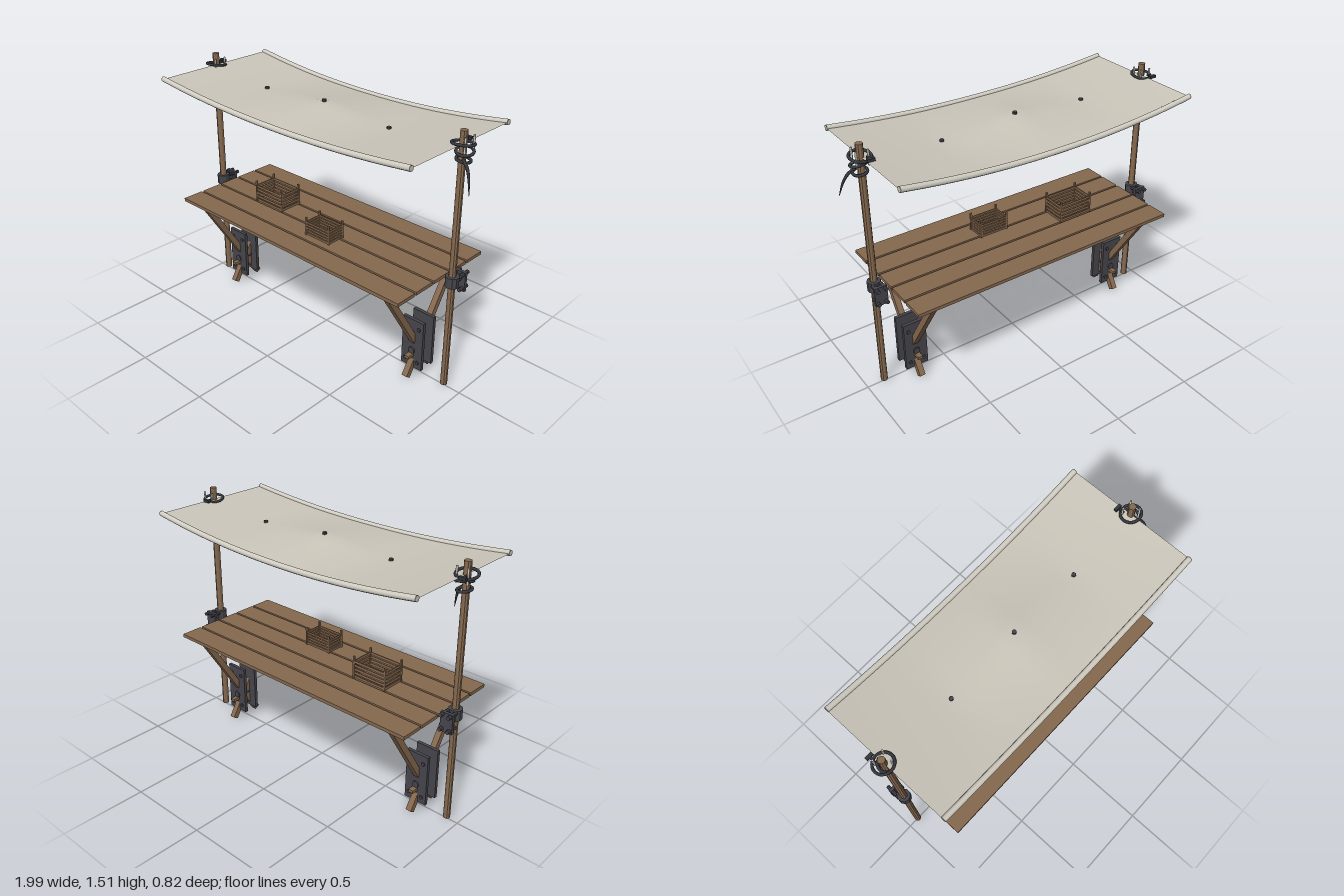
import * as THREE from 'three';

const mat = (color, extra = {}) => new THREE.MeshStandardMaterial({ color, ...extra });
const wood = mat(0x86694f, { flatShading: true });
const metal = mat(0x45454c, { flatShading: true });
const ropeMat = mat(0x33363b);
const clothMat = mat(0xcbc6ba, { side: THREE.DoubleSide });
const hemMat = mat(0xd2cec3, { side: THREE.DoubleSide });

const POLES = [-0.93, 0.895];
const LEGS = [-0.75, 0.705];
const MID = (POLES[0] + POLES[1]) / 2;
const HALF = (POLES[1] - POLES[0]) / 2;

function add(parent, name, geometry, material, x = 0, y = 0, z = 0) {
  const mesh = new THREE.Mesh(geometry, material);
  mesh.name = name;
  mesh.position.set(x, y, z);
  parent.add(mesh);
  return mesh;
}
const box = (p, name, m, w, h, d, x, y, z) => add(p, name, new THREE.BoxGeometry(w, h, d), m, x, y, z);
function rodZ(p, name, m, r, length, x, y, z, sides = 8) {
  const rod = add(p, name, new THREE.CylinderGeometry(r, r, length, sides), m, x, y, z);
  rod.rotation.x = Math.PI / 2;
  return rod;
}
function group(parent, name, x = 0, y = 0, z = 0) {
  const g = new THREE.Group();
  g.name = name;
  g.position.set(x, y, z);
  parent.add(g);
  return g;
}

// Height of the sagging cloth, pushed up to a soft peak in the middle
function clothHeight(x, z) {
  const u = (x - MID) / HALF;
  const sag = 0.0625 - 0.02 * z;
  const peak = Math.max(0, 1 - Math.abs(x - MID) / 0.45) * (1 - Math.abs(z) / 0.4);
  return 1.438 - sag * (1 - u * u) + 0.052 * peak;
}

function addCanopy(root) {
  const canopy = group(root, 'canopy');
  const geo = new THREE.PlaneGeometry(HALF * 2, 0.79, 24, 12).rotateX(-Math.PI / 2).translate(MID, 0, 0);
  const p = geo.attributes.position;
  for (let i = 0; i < p.count; i++) p.setY(i, clothHeight(p.getX(i), p.getZ(i)));
  geo.computeVertexNormals();
  add(canopy, 'cloth', geo, clothMat);

  // Rolled hems along the front and back
  for (const z of [-0.393, 0.393]) {
    const pts = [];
    for (let i = 0; i <= 12; i++) {
      const x = MID + HALF * (i / 6 - 1);
      pts.push(new THREE.Vector3(x, clothHeight(x, z), z));
    }
    add(canopy, 'hem', new THREE.TubeGeometry(new THREE.CatmullRomCurve3(pts), 24, 0.016, 10), hemMat);
    for (const end of [pts[0], pts[12]]) {
      const cap = add(canopy, 'hemEnd', new THREE.CircleGeometry(0.016, 10), hemMat, end.x, end.y, end.z);
      cap.rotation.y = Math.PI / 2;
    }
  }
  // Studs along the ridge
  for (const x of [-0.475, MID, 0.44]) {
    add(canopy, 'stud', new THREE.CylinderGeometry(0.012, 0.012, 0.014, 10), metal, x, clothHeight(x, 0) + 0.004, 0);
  }
}

function addPole(root, x) {
  const post = group(root, 'post', x);
  add(post, 'pole', new THREE.CylinderGeometry(0.02, 0.02, 1.5, 10), wood, 0, 0.76, 0);

  // Clamp holding the table to the pole
  const clamp = group(post, 'clamp');
  add(clamp, 'collar', new THREE.CylinderGeometry(0.038, 0.038, 0.06, 10), metal, 0, 0.675, 0);
  box(clamp, 'clampPlate', metal, 0.075, 0.115, 0.018, 0, 0.65, -0.072);
  box(clamp, 'clampArm', metal, 0.035, 0.03, 0.04, 0, 0.675, -0.05);
  for (const y of [0.696, 0.612]) {
    for (const bx of [-0.024, 0.024]) rodZ(clamp, 'clampBolt', metal, 0.011, 0.072, bx, y, -0.068);
  }

  // Rope lashing: radius, height and tilt of each turn
  const lashing = group(post, 'lashing');
  const turns = [
    [0.056, 1.442, -0.16, 0.05, 0],
    [0.043, 1.405, 0.2, -0.12, 0.012],
    [0.037, 1.36, -0.08, -0.14, 0.008],
  ];
  for (const [r, y, rx, rz, dx] of turns) {
    const loop = add(lashing, 'ropeTurn', new THREE.TorusGeometry(r, 0.008, 8, 24).rotateX(Math.PI / 2), ropeMat, dx, y, 0);
    loop.rotation.set(rx, 0, rz);
  }
  for (const [px, pz] of [[-0.028, -0.036], [0.036, -0.036], [0.03, 0.03]]) {
    add(lashing, 'peg', new THREE.CylinderGeometry(0.006, 0.006, 0.085, 6), hemMat, px, 1.442, pz);
  }
  box(lashing, 'toggle', ropeMat, 0.042, 0.016, 0.018, -0.022, 1.445, -0.072);
  box(lashing, 'toggleLink', ropeMat, 0.012, 0.012, 0.04, -0.022, 1.445, -0.052);

  // Loose rope end, tapering to a point
  const path = new THREE.CatmullRomCurve3([
    new THREE.Vector3(0.02, 1.37, 0.025), new THREE.Vector3(0.055, 1.345, 0.037),
    new THREE.Vector3(0.08, 1.3, 0.052), new THREE.Vector3(0.102, 1.22, 0.071),
  ]);
  const tail = new THREE.TubeGeometry(path, 12, 0.009, 7);
  const p = tail.attributes.position;
  const v = new THREE.Vector3();
  for (let i = 0; i < p.count; i++) {
    const t = Math.floor(i / 8) / 12;
    const c = path.getPointAt(t);
    v.fromBufferAttribute(p, i).sub(c).multiplyScalar(1 - 0.85 * t * t).add(c);
    p.setXYZ(i, v.x, v.y, v.z);
  }
  add(lashing, 'ropeEnd', tail, ropeMat);
}

function addTrestle(root, x) {
  const trestle = group(root, 'trestle', x);
  // Two crossing legs
  const dy = 0.626, dz = 0.394;
  for (const s of [-1, 1]) {
    const leg = box(trestle, 'leg', wood, 0.035, Math.hypot(dy, dz), 0.036, 0, 0.01 + dy / 2, s * 0.1);
    leg.rotation.x = s * Math.atan2(dz, dy);
    // Bolted plate on each side of the crossing
    box(trestle, 'plate', metal, 0.14, 0.312, 0.02, 0, 0.213, s * 0.045);
    for (const bx of [-0.042, 0.042]) {
      for (const y of [0.1, 0.32]) rodZ(trestle, 'bolt', metal, 0.011, 0.012, bx, y, s * 0.057);
    }
  }
  rodZ(trestle, 'axle', metal, 0.021, 0.125, 0, 0.168, 0, 10);
  box(trestle, 'crossPeg', wood, 0.03, 0.018, 0.2, 0, 0.142, 0);
  box(trestle, 'topCleat', wood, 0.06, 0.022, 0.225, 0, 0.645, 0);
}

function addCrate(root, x, z, w, d, h) {
  const crate = group(root, 'crate', x, 0.675, z);
  const t = 0.011;
  box(crate, 'crateFloor', wood, w - t, 0.008, d - t, 0, 0.008, 0);
  for (const sx of [-1, 1]) for (const sz of [-1, 1]) {
    box(crate, 'cratePost', wood, t, h, t, sx * (w - t) / 2, h / 2, sz * (d - t) / 2);
  }
  const pitch = (h - 0.022) / 5;
  for (let i = 0; i < 5; i++) {
    const y = pitch * (i + 0.5);
    for (const s of [-1, 1]) {
      box(crate, 'longSlat', wood, w - t, pitch * 0.66, 0.006, 0, y, s * (d - t) / 2);
      box(crate, 'endSlat', wood, 0.006, pitch * 0.66, d - t, s * (w - t) / 2, y, 0);
    }
  }
}

export function createModel() {
  const root = new THREE.Group();
  root.name = 'marketStall';

  // Table top of five planks
  const table = group(root, 'tableTop');
  for (let i = -2; i <= 2; i++) box(table, 'plank', wood, 1.705, 0.02, 0.134, -0.0225, 0.665, i * 0.1465);

  for (const x of LEGS) addTrestle(root, x);
  for (const x of POLES) addPole(root, x);
  addCanopy(root);

  addCrate(root, -0.412, 0, 0.228, 0.152, 0.135);
  addCrate(root, 0.088, 0.112, 0.186, 0.12, 0.11);
  return root;
}
